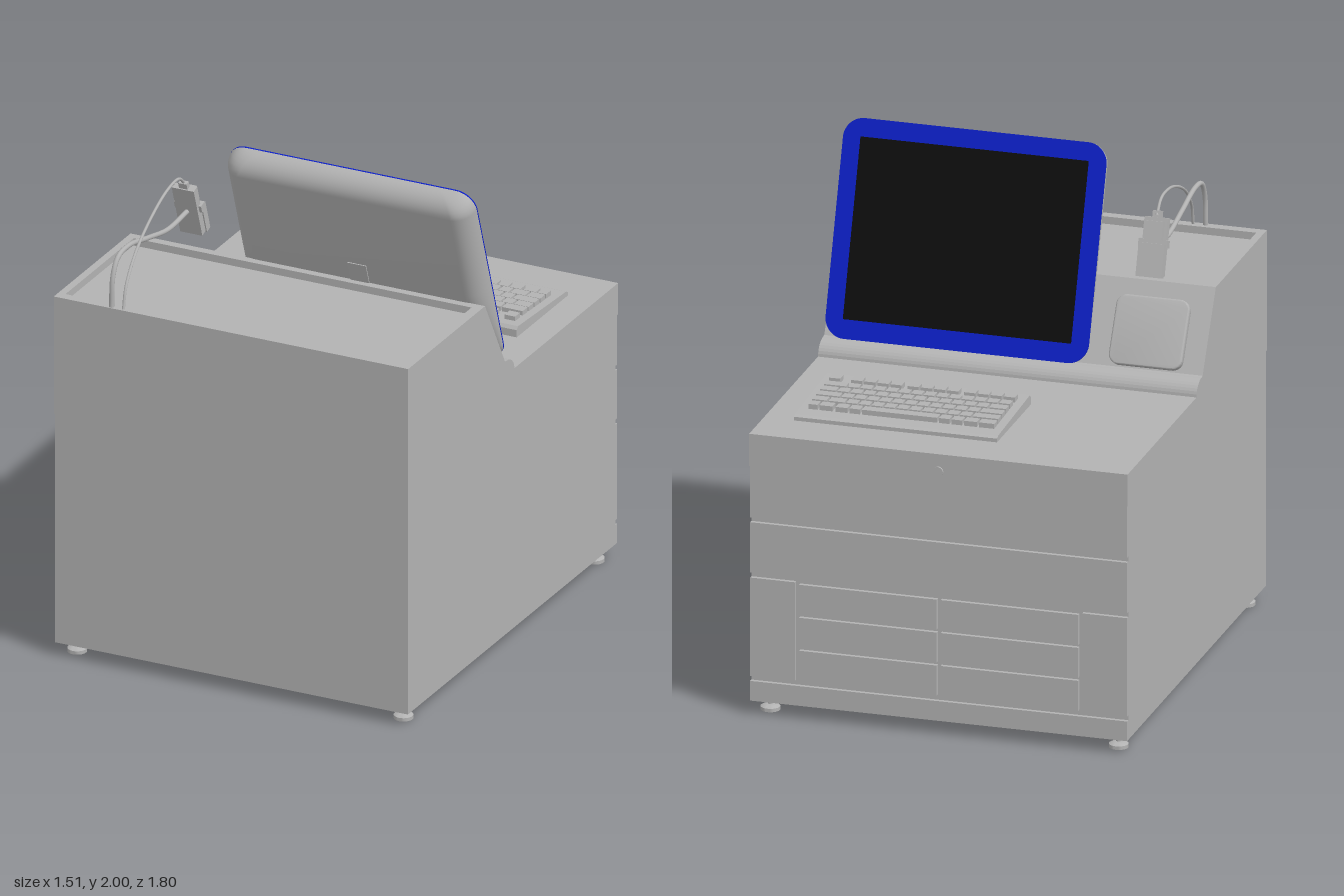
import * as THREE from 'three';
import { toCreasedNormals } from 'three/addons/utils/BufferGeometryUtils.js';

const mat = (name, color) => {
  const m = new THREE.MeshStandardMaterial({ color });
  m.name = name;
  return m;
};

export function createModel() {
  const grey = mat('grey', 0xb2b2b2);
  const blue = mat('blue', 0x0c1fc4);
  const black = mat('black', 0x0d0d0d);
  const model = new THREE.Group();
  model.name = 'counterTerminal';

  const add = (name, geo, material = grey, parent = model) => {
    const m = new THREE.Mesh(geo, material);
    m.name = name;
    parent.add(m);
    return m;
  };
  // box given by its limits on each axis
  const box = (name, x0, x1, y0, y1, z0, z1, parent = model, material = grey) => {
    const m = add(name, new THREE.BoxGeometry(x1 - x0, y1 - y0, z1 - z0), material, parent);
    m.position.set((x0 + x1) / 2, (y0 + y1) / 2, (z0 + z1) / 2);
    return m;
  };
  // side profile of [z, y] points, extruded across x
  const sideProfile = (pts, x0, x1) => {
    const g = new THREE.ExtrudeGeometry(new THREE.Shape(pts.map(p => new THREE.Vector2(...p))),
      { depth: x1 - x0, bevelEnabled: false });
    return g.rotateY(-Math.PI / 2).translate(x1, 0, 0);
  };
  const roundedRect = (x0, x1, y0, y1, r) => {
    const s = new THREE.Shape();
    s.absarc(x1 - r, y0 + r, r, -Math.PI / 2, 0);
    s.absarc(x1 - r, y1 - r, r, 0, Math.PI / 2);
    s.absarc(x0 + r, y1 - r, r, Math.PI / 2, Math.PI);
    s.absarc(x0 + r, y0 + r, r, Math.PI, Math.PI * 1.5);
    return s;
  };

  // lower cabinet with grooves and a recess for the drawers
  add('lowerCabinet', sideProfile([
    [-0.892, 0.055], [0.892, 0.055], [0.892, 1.01], [-0.892, 1.01],
    [-0.892, 0.8], [-0.876, 0.8], [-0.876, 0.78], [-0.892, 0.78],
    [-0.892, 0.575], [-0.876, 0.575], [-0.876, 0.135], [-0.892, 0.135],
  ], -0.752, 0.752));

  // upper housing: desk, rounded ridge, slope and sunken top
  const ridge = [];
  for (let i = 0; i <= 8; i++) {
    const a = (i / 8) * Math.PI / 2;
    ridge.push([0.06 - 0.07 * Math.cos(a), 1.14 + 0.058 * Math.sin(a)]);
  }
  add('upperHousing', sideProfile([
    [-0.895, 1.01], [0.895, 1.01], [0.895, 1.5], [0.855, 1.5], [0.855, 1.47], [0.275, 1.47],
    [0.275, 1.5], [0.24, 1.5], [0.07, 1.2], ...ridge.reverse(), [-0.895, 1.14],
  ], -0.755, 0.755));
  box('topRim', -0.755, -0.725, 1.46, 1.5, 0.275, 0.855);
  box('topRim', 0.715, 0.755, 1.46, 1.5, 0.275, 0.855);

  // drawers, side panels and lock
  for (const s of [-1, 1]) {
    const span = (a, b) => (s > 0 ? [a, b] : [-b, -a]);
    box('sidePanel', ...span(0.573, 0.752), 0.155, 0.555, -0.892, -0.87);
    for (let i = 0; i < 3; i++) {
      const y = 0.157 + i * 0.134;
      box('drawer', ...span(0.008, 0.557), y, y + 0.122, -0.892, -0.87);
    }
  }
  const lock = add('lock', new THREE.CylinderGeometry(0.02, 0.02, 0.014, 24).rotateX(Math.PI / 2));
  lock.position.set(0, 1.07, -0.895);

  // levelling feet
  for (const x of [-0.695, 0.695]) for (const z of [-0.815, 0.815]) {
    const foot = add('foot', toCreasedNormals(new THREE.LatheGeometry([
      [0, 0], [0.038, 0], [0.038, 0.014], [0.025, 0.021], [0.01, 0.024], [0.01, 0.06],
    ].map(p => new THREE.Vector2(...p)), 24), 0.6));
    foot.position.set(x, 0, z);
  }

  // keyboard, with its space bar towards -z
  const keyboard = new THREE.Group();
  keyboard.name = 'keyboard';
  model.add(keyboard);
  add('keyboardBase', sideProfile([
    [-0.705, 1.14], [-0.27, 1.14], [-0.27, 1.17], [-0.282, 1.182], [-0.69, 1.162], [-0.705, 1.155],
  ], -0.175, 0.635), grey, keyboard);
  const unit = 0.05;
  const rows = [ // z, then key widths in units; negative is a gap
    [-0.61, [1.4, 1.2, 1, 1, 6.2, 1, 1.1, -0.1, 1.2, 0.9]],
    [-0.56, [2.2, 1, 1, 1, 1, 1, 1, 1, 1, 1, 1, 1.4, 1.3]],
    [-0.51, [1.9, 1, 1, 1, 1, 1, 1, 1, 1, 1, 1, 1, 2]],
    [-0.46, [1.5, 1, 1, 1, 1, 1, 1, 1, 1, 1, 1, 1, 1, 1.4]],
    [-0.41, [1, 1, 1, 1, 1, 1, 1, 1, 1, 1, 1, 1, 1, 1.9]],
    [-0.345, [1.05, 1.05, 1.05, 1.05, -0.3, 1.05, 1.05, 1.05, 1.05, -0.3, 1.05, 1.05, 1.05, 1.05, -0.7, 1.05]],
  ];
  for (const [z, widths] of rows) {
    const total = widths.reduce((t, w) => t + Math.abs(w), 0);
    const top = 1.198 + (z + 0.345) * 0.05;
    let x = 0.605; // each row runs from +x to -x
    for (const w of [...widths].reverse()) {
      const size = Math.abs(w) * unit * 15 / total;
      if (w > 0) box('key', x - size + 0.004, x - 0.004, 1.155, top, z - 0.021, z + 0.021, keyboard);
      x -= size;
    }
  }

  // tilted display; local +z is its back
  const W = 0.525, L = 0.846, R = 0.08, tilt = 0.331;
  const display = new THREE.Group();
  display.name = 'display';
  display.position.set(0.225, 1.2, 0.05);
  display.rotation.x = tilt;
  model.add(display);
  // shell lofted from cross-sections along its height
  const heights = [];
  for (let i = 0; i <= 8; i++) heights.push(R * (1 - Math.cos(i / 8 * Math.PI / 2)));
  heights.push(0.14, 0.2, 0.26, 0.32, 0.38, 0.6);
  for (let i = 8; i >= 0; i--) heights.push(L - R * (1 - Math.cos(i / 8 * Math.PI / 2)));
  const N = 20, pos = [], idx = [];
  heights.forEach((v, j) => {
    const e = Math.max(0, 1 - Math.min(v, L - v) / R);
    const round = Math.sqrt(Math.max(0, 1 - e * e));
    const half = W - R * (1 - round);
    const taper = THREE.MathUtils.smoothstep(v, -0.12, 0.36);
    const depth = 0.086 * taper * round;
    for (let i = 0; i <= N; i++) {
      const side = i < N / 2 ? 1 : -1;
      const t = (i < N / 2 ? i / (N / 2 - 1) : (N - i) / (N / 2)) * Math.PI / 2;
      pos.push(side * (half - 0.075 * (1 - Math.cos(t))), v, depth * Math.sin(t));
      if (j && i) {
        const a = (j - 1) * (N + 1) + i - 1, b = a + N + 1;
        idx.push(a, b, a + 1, b, b + 1, a + 1);
      }
    }
  });
  // outward winding: reverse so the back faces local +z
  for (let k = 0; k < idx.length; k += 3) [idx[k + 1], idx[k + 2]] = [idx[k + 2], idx[k + 1]];
  for (let k = 0; k < idx.length; k += 3) {
    const [a, b, c] = [idx[k], idx[k + 1], idx[k + 2]].map(q => new THREE.Vector3().fromArray(pos, q * 3));
    if (b.sub(a).cross(c.sub(a)).z < 0) [idx[k + 1], idx[k + 2]] = [idx[k + 2], idx[k + 1]];
  }
  const shell = new THREE.BufferGeometry();
  shell.setAttribute('position', new THREE.Float32BufferAttribute(pos, 3));
  shell.setIndex(idx);
  shell.computeVertexNormals();
  add('displayShell', shell, grey, display);
  add('displayBezel', new THREE.ExtrudeGeometry(roundedRect(-W, W, 0, L, R),
    { depth: 0.006, bevelEnabled: false, curveSegments: 10 }).translate(0, 0, -0.005), blue, display);
  box('screen', -0.455, 0.455, 0.075, 0.775, -0.008, -0.004, display, black);
  box('rearLatch', -0.04, 0.04, 0.3, 0.435, 0.07, 0.09, display);

  // rounded pad lying on the slope
  const pad = add('pad', toCreasedNormals(new THREE.ExtrudeGeometry(
    roundedRect(-0.14, 0.14, 0.012, 0.272, 0.035),
    { depth: 0.022, bevelThickness: 0.006, bevelSize: 0.006, bevelSegments: 3 }), 0.6));
  pad.position.set(-0.527, 1.2, 0.07);
  pad.rotation.x = Math.atan2(0.17, 0.3);
  pad.geometry.translate(0, 0, -0.026);

  // handheld reader
  const reader = new THREE.Group();
  reader.name = 'reader';
  reader.position.set(-0.515, 1.645, 0.215);
  reader.rotation.x = tilt;
  model.add(reader);
  box('readerBody', -0.047, 0.047, -0.11, 0.115, -0.005, 0.025, reader);
  box('readerHead', -0.052, 0.052, -0.115, 0.015, -0.035, -0.005, reader);
  box('readerClip', -0.058, 0.058, 0, 0.03, -0.02, 0.012, reader);
  box('readerGrip', -0.035, 0.035, 0.03, 0.1, -0.025, -0.005, reader);
  box('cablePlug', -0.018, 0.018, 0.115, 0.14, 0, 0.02, reader);

  // cables running to the top
  const cable = (name, pts, r) => add(name, new THREE.TubeGeometry(
    new THREE.CatmullRomCurve3(pts.map(p => new THREE.Vector3(...p))), 48, r, 10));
  cable('thickCable', [[-0.515, 1.64, 0.235], [-0.515, 1.63, 0.4], [-0.515, 1.665, 0.58],
    [-0.515, 1.698, 0.74], [-0.515, 1.685, 0.83], [-0.515, 1.62, 0.872], [-0.515, 1.495, 0.882]], 0.01);
  cable('thinCable', [[-0.515, 1.76, 0.255], [-0.513, 1.805, 0.31], [-0.507, 1.805, 0.42],
    [-0.495, 1.76, 0.58], [-0.482, 1.68, 0.74], [-0.47, 1.58, 0.85], [-0.465, 1.495, 0.882]], 0.006);

  return model;
}
